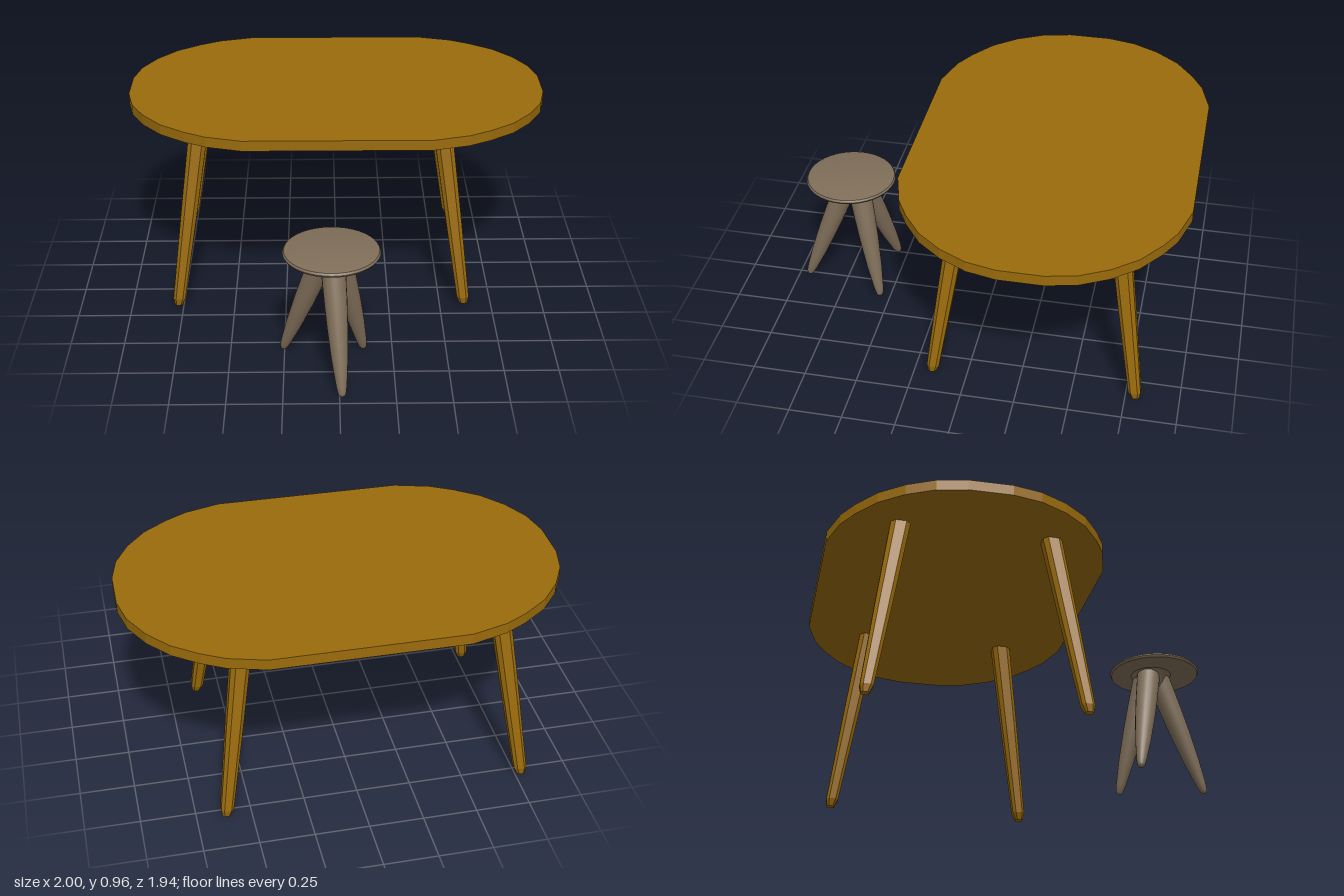
import * as THREE from 'three';
import { toCreasedNormals } from 'three/addons/utils/BufferGeometryUtils.js';

const wood = new THREE.MeshStandardMaterial({ color: 0x9a6b0b, flatShading: true });
wood.name = 'golden wood';
const taupe = new THREE.MeshStandardMaterial({ color: 0x7f6e59 });
taupe.name = 'taupe';

function add(parent, name, geometry, material) {
  const mesh = new THREE.Mesh(geometry, material);
  mesh.name = name;
  parent.add(mesh);
  return mesh;
}

// Oval top: one quarter of the faceted outline, mirrored four ways
function tableTop() {
  const quarter = [[1, 0.1], [0.97, 0.235], [0.905, 0.36], [0.815, 0.47],
    [0.7, 0.555], [0.6, 0.61], [0.435, 0.657]];
  const back = [...quarter].reverse();
  const points = [
    ...quarter,
    ...back.map(([x, z]) => [-x, z]),
    ...quarter.map(([x, z]) => [-x, -z]),
    ...back.map(([x, z]) => [x, -z]),
  ].map(([x, y]) => new THREE.Vector2(x, y));
  const geometry = new THREE.ExtrudeGeometry(new THREE.Shape(points), { depth: 0.05, bevelEnabled: false });
  geometry.rotateX(-Math.PI / 2);
  return geometry.translate(0, 0.915, -0.316);
}

// Splayed table leg: chamfered square section, tapering to a blunt foot
function tableLeg(top, foot) {
  const levels = [[0.015, 0.018], [0.05, 0.029], [0.47, 0.038], [0.92, 0.045]]; // height, half width
  const geometry = new THREE.CylinderGeometry(1, 1, 3, 8, 3);
  geometry.rotateY(Math.PI / 8);
  const p = geometry.attributes.position;
  const flat = Math.cos(Math.PI / 8);
  const spread = (v, w) => Math.sign(v) * w * (Math.abs(v) < 0.01 ? 0 : Math.abs(v) > 0.6 ? Math.abs(v) / flat : 0.55);
  for (let i = 0; i < p.count; i++) {
    const [y, w] = levels[Math.round(p.getY(i) + 1.5)];
    const t = y / 0.92;
    p.setXYZ(i,
      THREE.MathUtils.lerp(foot[0], top[0], t) + spread(p.getX(i), w),
      y,
      THREE.MathUtils.lerp(foot[1], top[1], t) + spread(p.getZ(i), w));
  }
  geometry.computeVertexNormals();
  return geometry;
}

// Round tapered stool leg, turned along the line from foot to top
function stoolLeg(top, foot) {
  const a = new THREE.Vector3(foot[0], 0.002, foot[1]);
  const direction = new THREE.Vector3(top[0], 0.58, top[1]).sub(a);
  const length = direction.length();
  const profile = [[0, 0], [0.012, 0.004], [0.018, 0.016], [0.024, 0.05], [0.037, 0.17],
    [0.047, 0.32], [0.052, 0.44], [0.056, length]].map(([r, y]) => new THREE.Vector2(r, y));
  const geometry = new THREE.LatheGeometry(profile, 20);
  const turn = new THREE.Quaternion().setFromUnitVectors(new THREE.Vector3(0, 1, 0), direction.normalize());
  return geometry.applyQuaternion(turn).translate(a.x, a.y, a.z);
}

export function createModel() {
  const model = new THREE.Group();

  const table = new THREE.Group();
  table.name = 'table';
  add(table, 'tableTop', tableTop(), wood);
  const legsX = [['Right', -0.645, -0.775], ['Left', 0.492, 0.618]];
  const legsZ = [['front', 0.037, 0.165], ['back', -0.662, -0.8]];
  for (const [side, topX, footX] of legsX) {
    for (const [end, topZ, footZ] of legsZ) {
      add(table, `${end}${side}TableLeg`, tableLeg([topX, topZ], [footX, footZ]), wood);
    }
  }

  const stool = new THREE.Group();
  stool.name = 'stool';
  // Thin round seat with a soft rim
  const rim = [[0, 0.588], [0.2, 0.588], [0.211, 0.591], [0.217, 0.601], [0.211, 0.611], [0.2, 0.614], [0, 0.614]];
  const seat = new THREE.LatheGeometry(rim.map(([r, y]) => new THREE.Vector2(r, y)), 40);
  add(stool, 'stoolSeat', toCreasedNormals(seat, 0.7), taupe).position.set(-0.032, 0, 0.708);
  // Flared collar joining the legs to the seat
  const flare = [[0, 0.5], [0.04, 0.505], [0.065, 0.54], [0.075, 0.57], [0.1, 0.59]];
  const collar = new THREE.LatheGeometry(flare.map(([r, y]) => new THREE.Vector2(r, y)), 28);
  add(stool, 'stoolCollar', collar, taupe).position.set(-0.032, 0, 0.69);
  const stoolLegs = [
    ['rightStoolLeg', [-0.06, 0.67], [-0.258, 0.548]],
    ['frontStoolLeg', [-0.028, 0.725], [0.012, 0.952]],
    ['leftStoolLeg', [-0.005, 0.665], [0.117, 0.55]],
  ];
  for (const [name, top, foot] of stoolLegs) add(stool, name, stoolLeg(top, foot), taupe);

  model.add(table, stool);
  return model;
}
